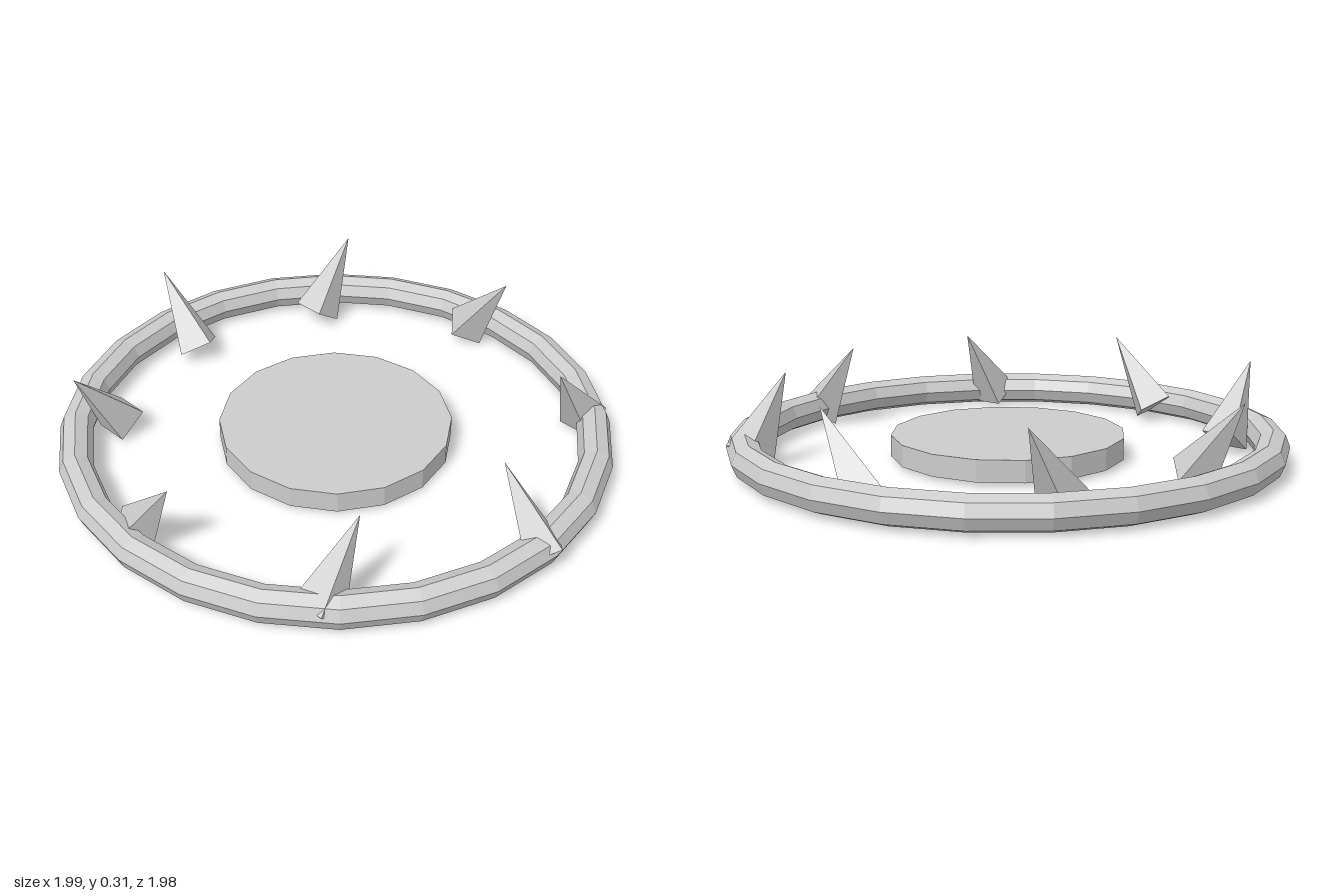
import * as THREE from 'three';

const CENTER_X = -0.01;
const SPIKES = 8;
const TILT = 0.6;

export function createModel() {
  const model = new THREE.Group();
  model.name = 'spikedRing';

  const grey = new THREE.MeshStandardMaterial({ color: 0xcccccc, flatShading: true });
  grey.name = 'light grey';

  const add = (name, geometry, x, y, z) => {
    const mesh = new THREE.Mesh(geometry, grey);
    mesh.name = name;
    mesh.position.set(x, y, z);
    model.add(mesh);
    return mesh;
  };

  // Outer ring lying flat
  add('ring', new THREE.TorusGeometry(0.928, 0.06, 8, 24).rotateX(Math.PI / 2), CENTER_X, 0.07, 0);

  // Central disc
  add('disc', new THREE.CylinderGeometry(0.417, 0.417, 0.077, 16), CENTER_X, 0.057, 0);

  // Four-sided spikes; the lean direction turns twice as fast as the position
  for (let i = 0; i < SPIKES; i++) {
    const a = (i / SPIKES) * Math.PI * 2;
    const geometry = new THREE.ConeGeometry(0.088, 0.32, 4).rotateY(a);
    const spike = add('spike' + (i + 1), geometry,
      CENTER_X + 0.84 * Math.cos(a), 0.187, 0.84 * Math.sin(a));
    spike.rotation.set(0, -(Math.PI + 2 * a), -TILT, 'YZX');
  }

  return model;
}
